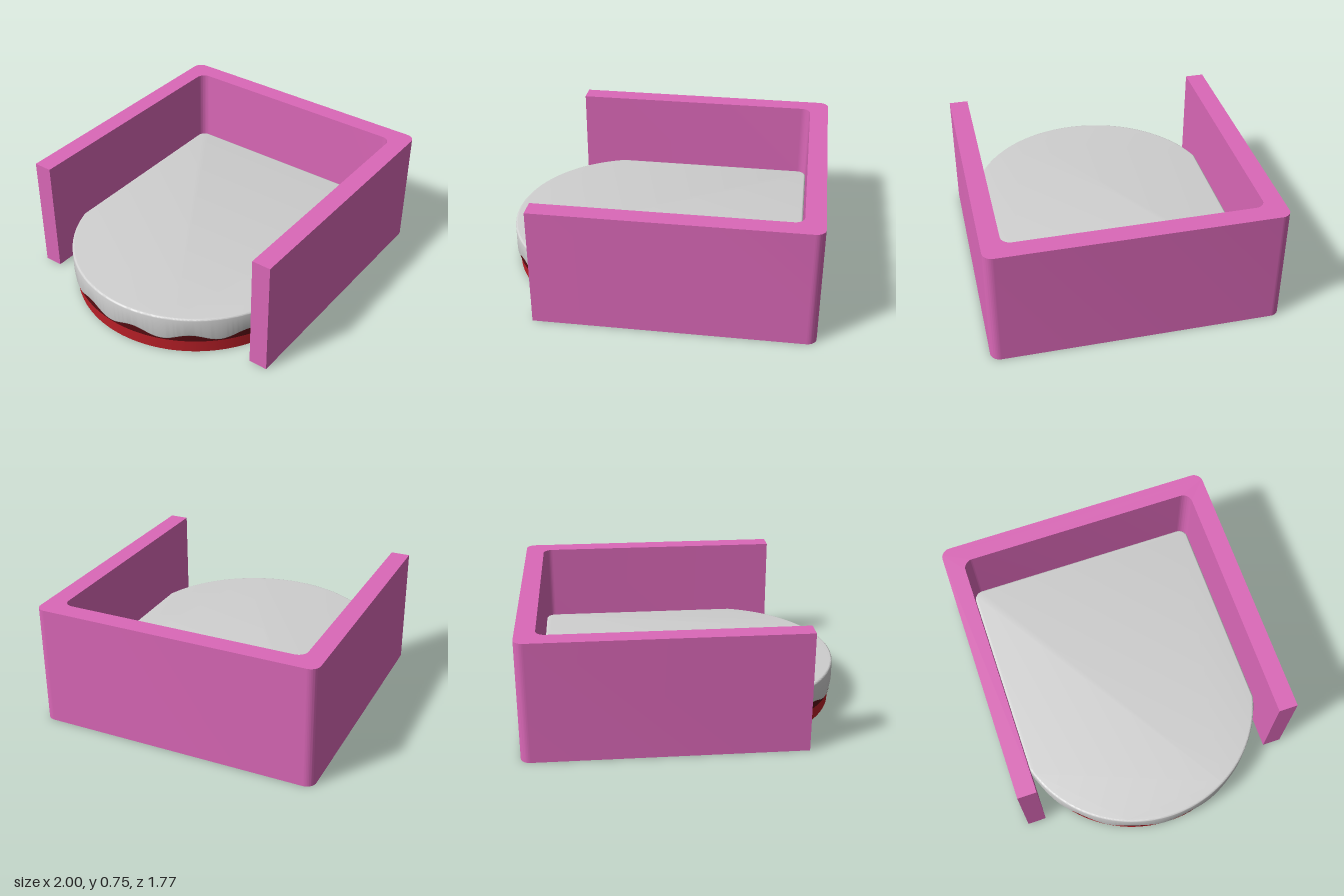
import * as THREE from 'three';
import { toCreasedNormals } from 'three/addons/utils/BufferGeometryUtils.js';

const pink = new THREE.MeshStandardMaterial({ color: 0xdb68b8 });
pink.name = 'pink wall';
const grey = new THREE.MeshStandardMaterial({ color: 0xd0d0d0 });
grey.name = 'light grey mattress';
const red = new THREE.MeshStandardMaterial({ color: 0xb81f27 });
red.name = 'red base';
const darkRed = new THREE.MeshStandardMaterial({ color: 0x560d12, side: THREE.DoubleSide });
darkRed.name = 'dark red lining';

const CENTRE_X = -0.2; // centre of the rounded end

// Plan outline: round on the -x end, straight sides, small corners on the +x end
function bedOutline(radius, halfWidth, endX, corner) {
  const a = Math.asin(halfWidth / radius);
  const s = new THREE.Shape();
  s.absarc(CENTRE_X, 0, radius, Math.PI - a, Math.PI + a, false);
  s.lineTo(endX - corner, -halfWidth);
  s.absarc(endX - corner, -halfWidth + corner, corner, -Math.PI / 2, 0, false);
  s.absarc(endX - corner, halfWidth - corner, corner, 0, Math.PI / 2, false);
  s.closePath();
  return s;
}

// Extrudes a plan outline upwards from y = bottom to y = top
function upright(shape, bottom, top, bevel, curveSegments) {
  const geometry = new THREE.ExtrudeGeometry(shape, {
    depth: top - bottom - 2 * bevel,
    curveSegments,
    bevelEnabled: bevel > 0,
    bevelSize: bevel,
    bevelThickness: bevel,
    bevelOffset: -bevel,
    bevelSegments: 3,
  });
  geometry.rotateX(-Math.PI / 2);
  geometry.translate(0, bottom + bevel, 0);
  return geometry;
}

function addMesh(group, name, geometry, material) {
  const mesh = new THREE.Mesh(geometry, material);
  mesh.name = name;
  group.add(mesh);
}

export function createModel() {
  const group = new THREE.Group();
  group.name = 'bed';

  // U-shaped wall, open at the round end
  const w = 0.885, i = 0.767, r = 0.06;
  const u = new THREE.Shape();
  u.moveTo(-0.7, -w);
  u.lineTo(1 - r, -w);
  u.absarc(1 - r, -w + r, r, -Math.PI / 2, 0, false);
  u.absarc(1 - r, w - r, r, 0, Math.PI / 2, false);
  u.lineTo(-0.7, w);
  u.lineTo(-0.7, i);
  u.lineTo(0.88 - r, i);
  u.absarc(0.88 - r, i - r, r, Math.PI / 2, 0, true);
  u.absarc(0.88 - r, -i + r, r, 0, -Math.PI / 2, true);
  u.lineTo(-0.7, -i);
  u.closePath();
  addMesh(group, 'surroundWall', toCreasedNormals(upright(u, 0, 0.75, 0, 10), 0.6), pink);

  // Base under the mattress
  const base = upright(bedOutline(0.78, i, 0.88, r), 0.002, 0.18, 0, 72);
  addMesh(group, 'base', toCreasedNormals(base, 0.6), red);

  // Mattress cover with a wavy lower hem round the open end
  const cover = upright(bedOutline(0.8, i, 0.88, r), 0.1, 0.267, 0.012, 96);
  const p = cover.attributes.position;
  for (let k = 0; k < p.count; k++) {
    if (p.getY(k) > 0.15) continue;
    const angle = Math.atan2(p.getZ(k), CENTRE_X - p.getX(k));
    p.setY(k, p.getY(k) + 0.019 * (1 + Math.cos((angle - 0.6) * 14)));
  }
  cover.computeVertexNormals();
  addMesh(group, 'mattressCover', toCreasedNormals(cover, 0.6), grey);

  // Lining seen below the hem
  const span = Math.asin(i / 0.8);
  const lining = new THREE.CylinderGeometry(0.792, 0.792, 0.06, 72, 1, true, -Math.PI / 2 - span, 2 * span);
  lining.translate(CENTRE_X, 0.122, 0);
  addMesh(group, 'hemLining', lining, darkRed);

  return group;
}
